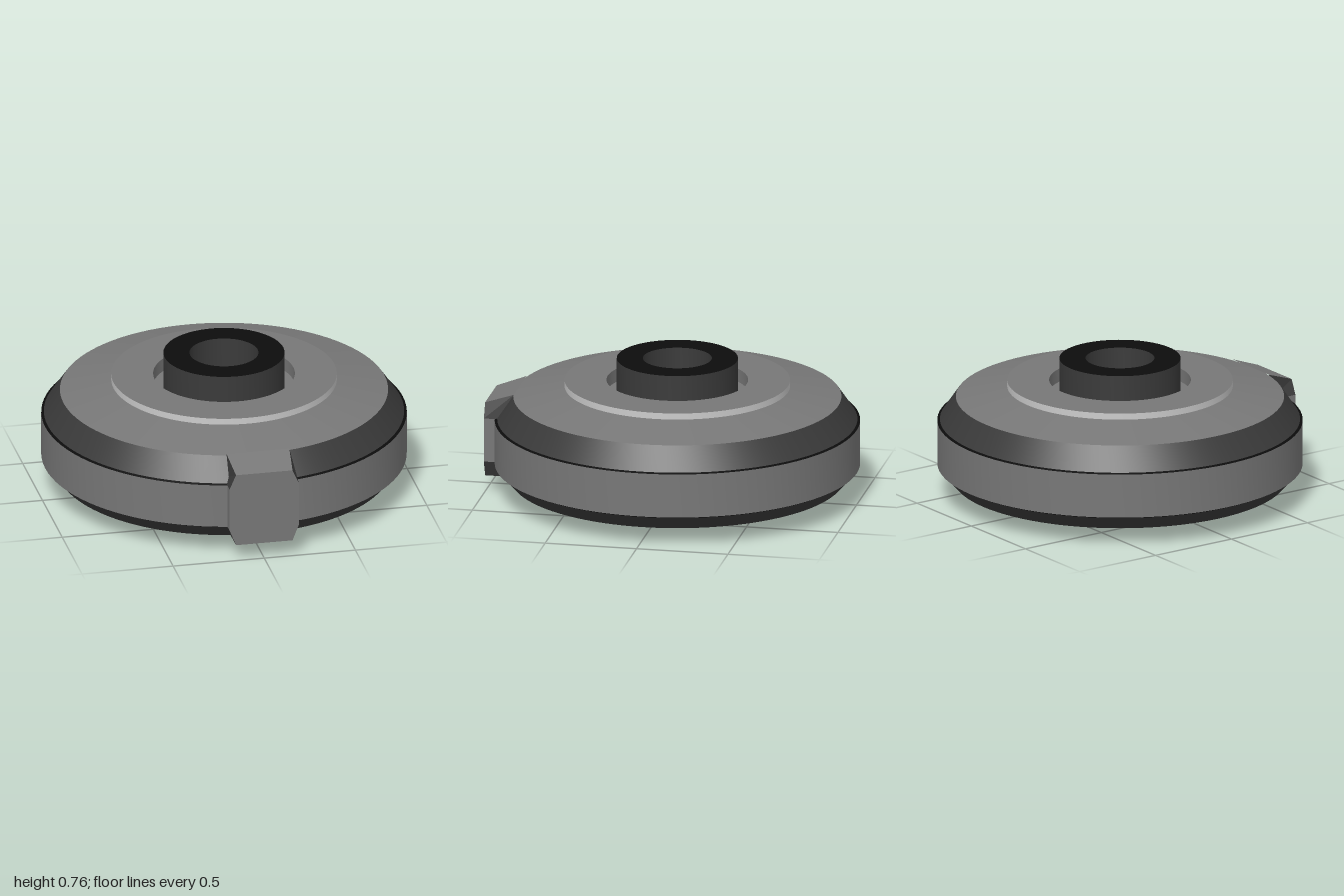
import * as THREE from 'three';
import { toCreasedNormals } from 'three/addons/utils/BufferGeometryUtils.js';

const CENTER_Z = -0.02;
const mat = (color) => new THREE.MeshStandardMaterial({ color });

export function createModel() {
  const model = new THREE.Group();
  const body = new THREE.Group();
  body.name = 'roundBody';
  body.position.z = CENTER_Z;
  model.add(body);

  const light = mat(0x777777);
  const pale = mat(0xcccccc);
  const dark = mat(0x3a3a3a);
  const black = mat(0x0c0c0c);
  const blue = mat(0x1166dd);

  // Revolved part; profile runs counterclockwise in (radius, y)
  const turned = (name, material, profile, segments = 96) => {
    const lathe = new THREE.LatheGeometry(profile.map(([r, y]) => new THREE.Vector2(r, y)), segments);
    const mesh = new THREE.Mesh(toCreasedNormals(lathe, 0.25), material);
    mesh.name = name;
    body.add(mesh);
  };

  // Underside: central recess, raised foot, flat bottom and lower bevel
  turned('recessDisc', dark, [[0, 0.05], [0.165, 0.05]]);
  turned('recessRing', light, [[0.165, 0.05], [0.165, 0.025], [0.22, 0.025], [0.25, 0]]);
  turned('foot', dark, [[0.25, 0], [0.445, 0], [0.6, 0.09]]);
  turned('lowerBevel', dark, [[0.6, 0.09], [0.895, 0.09], [0.968, 0.17]]);

  // Side band with thin black seams
  turned('lowerSeam', black, [[0.968, 0.17], [0.98, 0.176]]);
  turned('sideBand', light, [[0.98, 0.176], [0.98, 0.418]]);
  turned('upperSeam', black, [[0.98, 0.418], [0.966, 0.424]]);

  // Top shell and raised plate with a well
  turned('upperBevel', dark, [[0.966, 0.424], [0.88, 0.55]]);
  turned('topCone', light, [[0.88, 0.55], [0.6, 0.61]]);
  turned('plateEdge', pale, [[0.605, 0.608], [0.605, 0.643]]);
  turned('plateTop', light, [[0.605, 0.643], [0.38, 0.643]]);
  turned('plateWell', light, [[0.38, 0.643], [0.38, 0.57], [0.32, 0.57]]);

  // Central tube with a lens at its bottom
  turned('tubeWall', dark, [[0.325, 0.56], [0.325, 0.765]]);
  turned('tubeRim', black, [[0.325, 0.765], [0.185, 0.765]]);
  turned('tubeBore', dark, [[0.185, 0.765], [0.185, 0.42]]);
  turned('lensRing', light, [[0.185, 0.42], [0.165, 0.42], [0.12, 0.39], [0.12, 0.36], [0, 0.36]]);
  const lens = new THREE.Mesh(new THREE.SphereGeometry(0.108, 32, 20), blue);
  lens.name = 'lens';
  lens.position.y = 0.4;
  body.add(lens);

  // Small tabs under the body, one per quarter
  for (let i = 0; i < 4; i++) {
    const a = (i * Math.PI) / 2;
    const tab = new THREE.Mesh(new THREE.BoxGeometry(0.12, 0.012, 0.03), pale);
    tab.name = 'underTab';
    tab.position.set(Math.sin(a) * 0.587, 0.086, Math.cos(a) * 0.587);
    tab.rotation.y = a;
    body.add(tab);
  }

  // Front block: eight-sided section lofted from the shell to the front face
  const section = (topHalf, topY, z) => [
    [-0.155, 0.09, z], [0.155, 0.09, z], [0.19, 0.178, z], [0.19, 0.42, z],
    [topHalf, topY, z], [-topHalf, topY, z], [-0.19, 0.42, z], [-0.19, 0.178, z],
  ];
  const front = section(0.155, 0.5, 1);
  const back = section(0.172, 0.557, 0.84);
  const faceted = (name, material, triangles) => {
    const geometry = new THREE.BufferGeometry();
    geometry.setAttribute('position', new THREE.Float32BufferAttribute(triangles.flat(), 3));
    geometry.computeVertexNormals();
    const mesh = new THREE.Mesh(geometry, material);
    mesh.name = name;
    block.add(mesh);
  };
  const block = new THREE.Group();
  block.name = 'frontBlock';
  model.add(block);

  const lightFaces = [];
  const darkFaces = [];
  for (let i = 0; i < 8; i++) {
    const j = (i + 1) % 8;
    const target = [2, 4, 6].includes(i) ? lightFaces : darkFaces;
    target.push(front[i], back[i], back[j], front[i], back[j], front[j]);
    if (i > 0 && i < 7) lightFaces.push(front[0], front[i], front[j]);
  }
  faceted('blockFaces', light, lightFaces);
  faceted('blockBevels', dark, darkFaces);

  return model;
}
